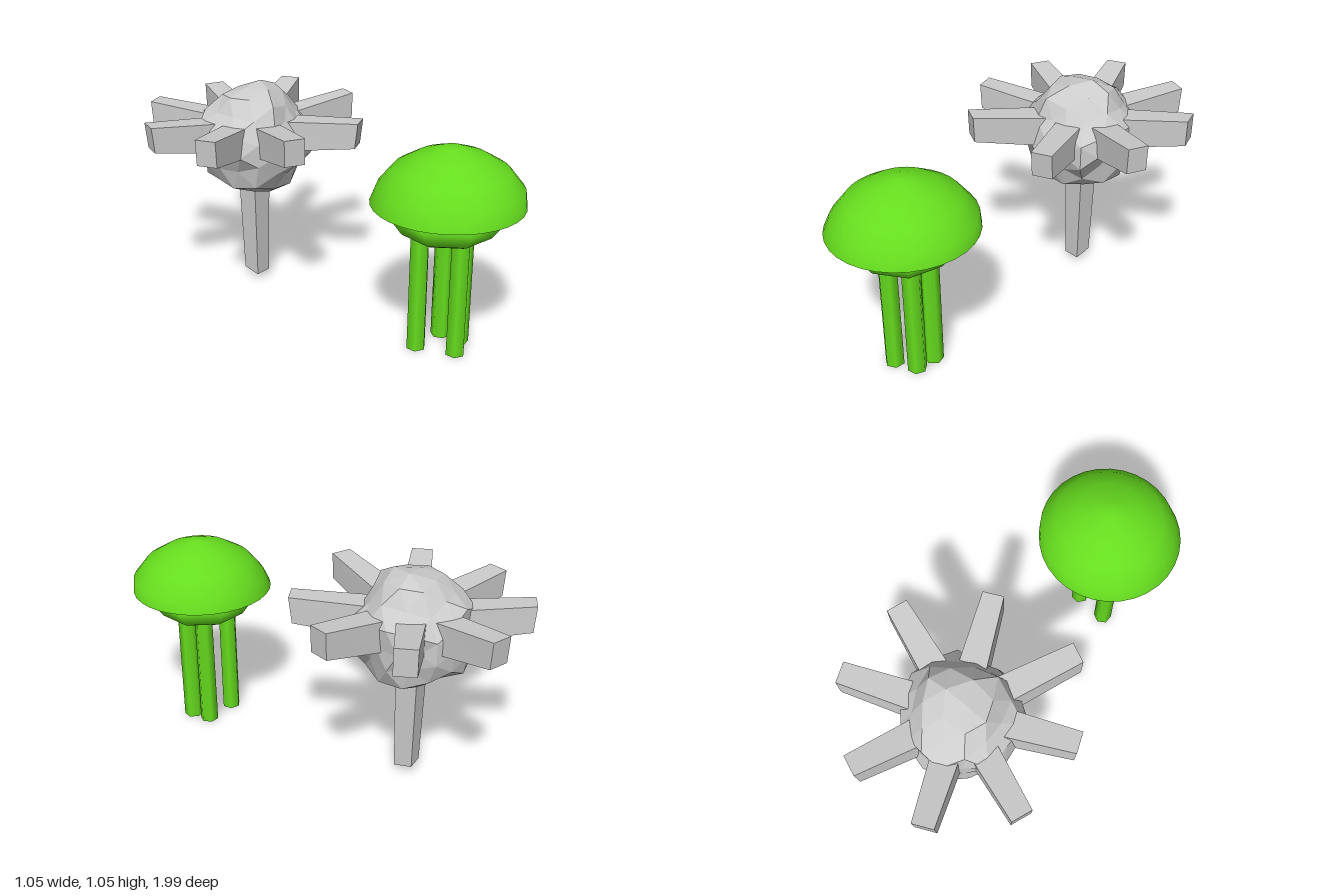
import * as THREE from 'three';

const grey = new THREE.MeshStandardMaterial({ color: 0xcccccc, flatShading: true });
const green = new THREE.MeshStandardMaterial({ color: 0x66dd1e, side: THREE.DoubleSide });

// Repeatable pseudo-random value in 0..1 for a position
function hash(x, y, z) {
  const s = Math.sin(Math.round(x * 100) * 12.99 + Math.round(y * 100) * 78.23 + Math.round(z * 100) * 37.72) * 43758.55;
  return s - Math.floor(s);
}

function addMesh(group, name, geometry, material) {
  const mesh = new THREE.Mesh(geometry, material);
  mesh.name = name;
  group.add(mesh);
  return mesh;
}

// Tapered four-sided bar running from one point to another
function bar(group, name, from, to, base, tip) {
  const a = new THREE.Vector3(...from), b = new THREE.Vector3(...to);
  const length = a.distanceTo(b);
  const geometry = new THREE.CylinderGeometry(tip[0] * Math.SQRT2, base[0] * Math.SQRT2, length, 4, 1);
  geometry.rotateY(Math.PI / 4);
  const p = geometry.attributes.position;
  for (let i = 0; i < p.count; i++) {
    const end = p.getY(i) > 0 ? tip : base;
    p.setZ(i, Math.sign(Math.round(p.getZ(i) * 1000)) * end[1]);
    // slanted tip
    if (end === tip) p.setY(i, p.getY(i) + p.getZ(i) * 0.2);
  }
  const dir = b.clone().sub(a).normalize();
  const ref = Math.abs(dir.y) > 0.9 ? new THREE.Vector3(0, 0, 1) : new THREE.Vector3(0, 1, 0);
  const side = new THREE.Vector3().crossVectors(dir, ref).normalize();
  const up = new THREE.Vector3().crossVectors(side, dir);
  geometry.applyMatrix4(new THREE.Matrix4().makeBasis(side, dir, up));
  geometry.translate(...a.add(b).multiplyScalar(0.5).toArray());
  geometry.computeVertexNormals();
  return addMesh(group, name, geometry, grey);
}

function createSpikyCreature() {
  const group = new THREE.Group();
  group.name = 'spikyCreature';

  // Rough faceted body
  const body = new THREE.IcosahedronGeometry(1, 2);
  const p = body.attributes.position;
  const v = new THREE.Vector3();
  for (let i = 0; i < p.count; i++) {
    v.fromBufferAttribute(p, i);
    v.multiplyScalar(0.245 + 0.06 * hash(v.x, v.y, v.z));
    p.setXYZ(i, v.x, v.y, v.z);
  }
  body.computeVertexNormals();
  addMesh(group, 'body', body, grey).position.set(0, 0.76, -0.49);

  // Ring of eight arms, each given by its tip
  const tips = [
    [-0.205, 0.86, -0.975], [0.2, 0.86, -0.97], [0.5, 0.88, -0.69], [0.51, 0.87, -0.3],
    [0.215, 0.84, 0.01], [-0.255, 0.87, 0.015], [-0.5, 0.86, -0.3], [-0.495, 0.85, -0.69],
  ];
  tips.forEach(([x, y, z]) => {
    bar(group, 'arm', [x * 0.32, 0.81, -0.49 + (z + 0.49) * 0.32], [x, y, z], [0.065, 0.075], [0.05, 0.062]);
  });

  // Single stem below
  bar(group, 'stem', [0, 0.6, -0.495], [0, 0.04, -0.495], [0.055, 0.055], [0.042, 0.045]);
  return group;
}

function createJellyCreature() {
  const group = new THREE.Group();
  group.name = 'jellyCreature';
  group.position.set(0.02, 0, 0.655);
  const profile = (pairs) => pairs.map(([r, y]) => new THREE.Vector2(r, y));

  // Domed cap, leaning slightly to one side
  const cap = new THREE.LatheGeometry(profile([
    [0.341, 0.715], [0.322, 0.785], [0.255, 0.868], [0.16, 0.925], [0.05, 0.965], [0, 0.967],
  ]), 32);
  const p = cap.attributes.position;
  for (let i = 0; i < p.count; i++) {
    p.setX(i, p.getX(i) + 0.018 * Math.min(1, (p.getY(i) - 0.715) / 0.07));
  }
  addMesh(group, 'cap', cap, green);

  // Flat underside of the cap
  const underside = new THREE.CircleGeometry(0.341, 32).rotateX(Math.PI / 2);
  addMesh(group, 'capUnderside', underside, green).position.y = 0.715;

  // Coarse collar ring
  const collar = new THREE.LatheGeometry(profile([
    [0.1, 0.65], [0.13, 0.59], [0.18, 0.575], [0.21, 0.59], [0.265, 0.667], [0.21, 0.714], [0.13, 0.714], [0.1, 0.65],
  ]), 8, 0.2);
  addMesh(group, 'collar', collar, green);

  // Four hanging tentacles
  [[-0.015, 0.088], [0.09, 0.04], [0.088, -0.06], [-0.082, -0.082]].forEach(([x, z], i) => {
    const tentacle = new THREE.CylinderGeometry(0.045, 0.046, 0.7, 6, 1);
    tentacle.rotateY(i * 0.7);
    addMesh(group, 'tentacle', tentacle, green).position.set(x, 0.35, z);
  });
  return group;
}

export function createModel() {
  const model = new THREE.Group();
  model.name = 'twoSeaCreatures';
  model.add(createSpikyCreature(), createJellyCreature());
  return model;
}
